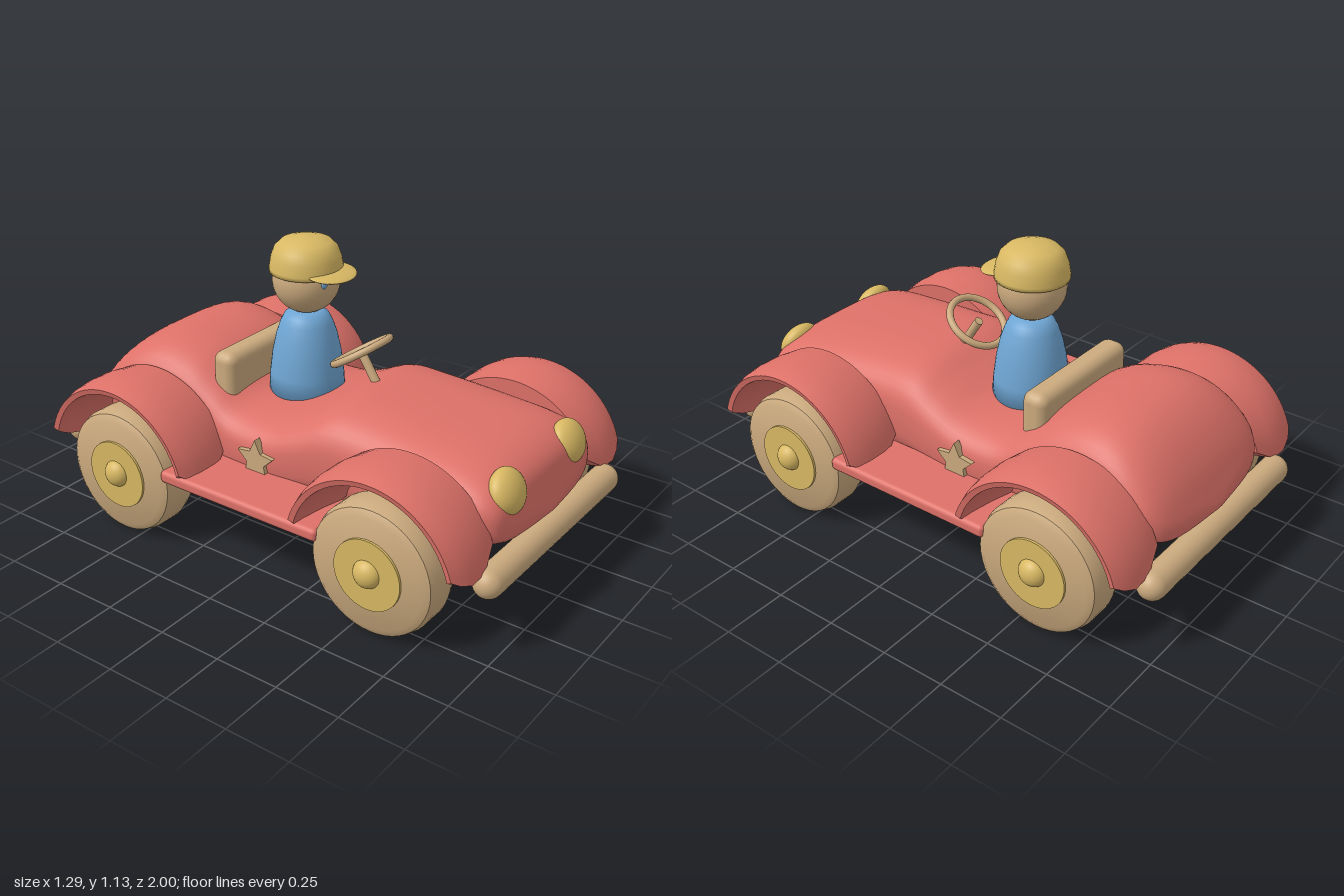
import * as THREE from 'three';
import { toCreasedNormals } from 'three/addons/utils/BufferGeometryUtils.js';
import { RoundedBoxGeometry } from 'three/addons/geometries/RoundedBoxGeometry.js';

const V = (x, y, z) => new THREE.Vector3(x, y, z);
const mat = (name, color, side = THREE.FrontSide) => {
  const m = new THREE.MeshStandardMaterial({ color, side });
  m.name = name;
  return m;
};

// Skin a row of closed rings and close both ends.
function loft(rings) {
  const n = rings[0].length, idx = [];
  for (let i = 0; i < rings.length - 1; i++) {
    for (let j = 0; j < n; j++) {
      const k = (j + 1) % n;
      const a = i * n + j, b = i * n + k, c = a + n, d = b + n;
      idx.push(a, c, b, b, c, d);
    }
  }
  const last = (rings.length - 1) * n;
  for (let j = 0; j < n / 2 - 1; j++) {
    const p = j, q = j + 1, r = n - 2 - j, s = n - 1 - j;
    idx.push(p, q, s, q, r, s);
    idx.push(last + p, last + s, last + q, last + q, last + s, last + r);
  }
  const g = new THREE.BufferGeometry().setFromPoints(rings.flat());
  g.setIndex(idx);
  g.computeVertexNormals();
  return g;
}

// Body stations, front to back: z, half width, top, bottom
const STATIONS = [
  [0.955, 0.03, 0.37, 0.35], [0.935, 0.26, 0.44, 0.335], [0.9, 0.35, 0.53, 0.31],
  [0.8, 0.375, 0.588, 0.28], [0.6, 0.37, 0.618, 0.25], [0.35, 0.36, 0.64, 0.225],
  [0.2, 0.365, 0.638, 0.22], [0.08, 0.375, 0.585, 0.22], [-0.05, 0.38, 0.535, 0.22],
  [-0.22, 0.375, 0.535, 0.22], [-0.34, 0.365, 0.605, 0.22], [-0.45, 0.362, 0.67, 0.23],
  [-0.58, 0.368, 0.7, 0.25], [-0.7, 0.375, 0.685, 0.265], [-0.8, 0.375, 0.625, 0.28],
  [-0.88, 0.355, 0.53, 0.31], [-0.93, 0.27, 0.43, 0.335], [-0.955, 0.03, 0.37, 0.35],
];

function bodyGeometry() {
  const curve = (f) => new THREE.CatmullRomCurve3(STATIONS.map(f), false, 'catmullrom', 0.5);
  const size = curve(([, w, t, b]) => V(w, t, b)), place = curve(([z]) => V(0, 0, z));
  const rings = [], steps = 85, n = 48;
  const bulge = (c) => Math.sign(c) * Math.abs(c) ** 0.68;
  for (let i = 0; i <= steps; i++) {
    const s = size.getPoint(i / steps), z = place.getPoint(i / steps).z, ring = [];
    for (let j = 0; j < n; j++) {
      const a = (j / n) * Math.PI * 2;
      ring.push(V(s.x * bulge(Math.cos(a)), (s.y + s.z) / 2 + ((s.y - s.z) / 2) * bulge(Math.sin(a)), z));
    }
    rings.push(ring);
  }
  return loft(rings);
}

// Fender: a domed section (x, radius) swept over the wheel
function fenderGeometry() {
  const section = [
    [0.606, 0.322], [0.612, 0.343], [0.575, 0.355], [0.52, 0.362], [0.44, 0.362], [0.35, 0.35],
    [0.35, 0.28], [0.4, 0.29], [0.45, 0.302], [0.5, 0.31], [0.55, 0.317], [0.59, 0.32],
  ];
  const rings = [], steps = 32;
  for (let i = 0; i <= steps; i++) {
    rings.push(section.map(([x, r]) => {
      const start = 0.13 + 0.15 * ((x - 0.49) / 0.12) ** 2;
      const a = start + (Math.PI - 2 * start) * (i / steps);
      return V(x, r * Math.sin(a), r * Math.cos(a));
    }));
  }
  return toCreasedNormals(loft(rings), 0.7);
}

function starGeometry() {
  const shape = new THREE.Shape();
  for (let i = 0; i < 10; i++) {
    const r = i % 2 ? 0.042 : 0.085, a = Math.PI / 2 + (i * Math.PI) / 5;
    shape[i ? 'lineTo' : 'moveTo'](r * Math.cos(a), r * Math.sin(a));
  }
  return new THREE.ExtrudeGeometry(shape, { depth: 0.03, bevelEnabled: false });
}

const lathe = (pts, seg = 40) =>
  new THREE.LatheGeometry(pts.map(([x, y]) => new THREE.Vector2(x, y)), seg);

export function createModel() {
  const red = mat('red paint', 0xdd7168, THREE.DoubleSide);
  const wood = mat('wood', 0xcbaa7e);
  const gold = mat('gold paint', 0xd8b863);
  const blue = mat('blue paint', 0x6fa6d4);
  const model = new THREE.Group();
  model.name = 'toyCar';
  const add = (name, geo, material, x = 0, y = 0, z = 0, parent = model) => {
    const m = new THREE.Mesh(geo, material);
    m.name = name;
    m.position.set(x, y, z);
    parent.add(m);
    return m;
  };

  add('body', bodyGeometry(), red);

  // Shared shapes
  const ball = new THREE.SphereGeometry(1, 32, 20);
  const fender = fenderGeometry();
  const tyre = toCreasedNormals(lathe([
    [0, -0.085], [0.215, -0.085], [0.24, -0.07], [0.25, -0.04],
    [0.25, 0.04], [0.24, 0.07], [0.215, 0.085], [0, 0.085],
  ], 48), 0.6);
  const hub = new THREE.CylinderGeometry(0.135, 0.135, 0.188, 40);
  const axle = new THREE.CylinderGeometry(0.04, 0.014, 0.22, 20);
  const board = new RoundedBoxGeometry(0.25, 0.05, 0.72, 3, 0.018);
  const star = starGeometry();

  // Left and right sides
  for (const side of [1, -1]) {
    const half = new THREE.Group();
    half.name = side > 0 ? 'leftSide' : 'rightSide';
    half.scale.x = side;
    model.add(half);
    for (const [end, z] of [['front', 0.58], ['rear', -0.58]]) {
      add(end + 'Fender', fender, red, 0, 0.26, z, half);
      const wheel = new THREE.Group();
      wheel.name = end + 'Wheel';
      wheel.position.set(0.515, 0.255, z);
      half.add(wheel);
      add('tyre', tyre, wood, 0, 0, 0, wheel).rotation.z = -Math.PI / 2;
      add('hub', hub, gold, 0, 0, 0, wheel).rotation.z = -Math.PI / 2;
      add('axle', axle, wood, -0.2, 0, 0, wheel).rotation.z = -Math.PI / 2;
      add('hubCap', ball, gold, 0.085, 0.005, 0, wheel).scale.set(0.045, 0.054, 0.054);
    }
    add('runningBoard', board, red, 0.478, 0.317, 0, half);
    add('star', star, wood, 0.365, 0.385, -0.07, half).rotation.y = Math.PI / 2;
    const lamp = add('headlight', ball, gold, 0.222, 0.505, 0.885, half);
    lamp.scale.set(0.09, 0.083, 0.05);
    lamp.rotation.x = -0.45;
    add('eye', ball, blue, 0.045, 0.986, -0.01, half).scale.set(0.014, 0.02, 0.012);
  }

  // Bumpers
  for (const [end, z] of [['front', 0.945], ['rear', -0.945]]) {
    add(end + 'Bumper', new THREE.CapsuleGeometry(0.055, 0.86, 10, 24), wood, 0, 0.275, z)
      .rotation.z = Math.PI / 2;
  }

  // Seat back
  add('seatBack', new RoundedBoxGeometry(0.545, 0.22, 0.105, 4, 0.04), wood, 0, 0.593, -0.325);

  // Steering wheel and column
  const tilt = 1.0;
  add('steeringWheel', new THREE.TorusGeometry(0.115, 0.014, 14, 48), wood, 0, 0.74, 0.13).rotation.x = tilt;
  add('steeringColumn', new THREE.CylinderGeometry(0.017, 0.017, 0.2, 16), wood, 0, 0.66, 0.177)
    .rotation.x = tilt - Math.PI / 2;

  // Driver
  const driver = new THREE.Group();
  driver.name = 'driver';
  driver.position.z = -0.125;
  model.add(driver);
  add('torso', lathe([
    [0, 0.5], [0.148, 0.5], [0.142, 0.6], [0.132, 0.68], [0.117, 0.75],
    [0.1, 0.8], [0.085, 0.83], [0.06, 0.848], [0, 0.853],
  ]), blue, 0, 0, 0, driver);
  add('head', ball, wood, 0, 0.97, 0, driver).scale.setScalar(0.129);
  add('cap', lathe([
    [0.11, 1.005], [0.14, 1.005], [0.14, 1.02], [0.133, 1.06], [0.12, 1.095],
    [0.095, 1.12], [0.05, 1.134], [0, 1.137],
  ]), gold, 0, 0, 0, driver);
  const brim = add('capBrim', ball, gold, 0, 1.017, 0.115, driver);
  brim.scale.set(0.11, 0.013, 0.088);
  brim.rotation.x = 0.12;

  return model;
}
